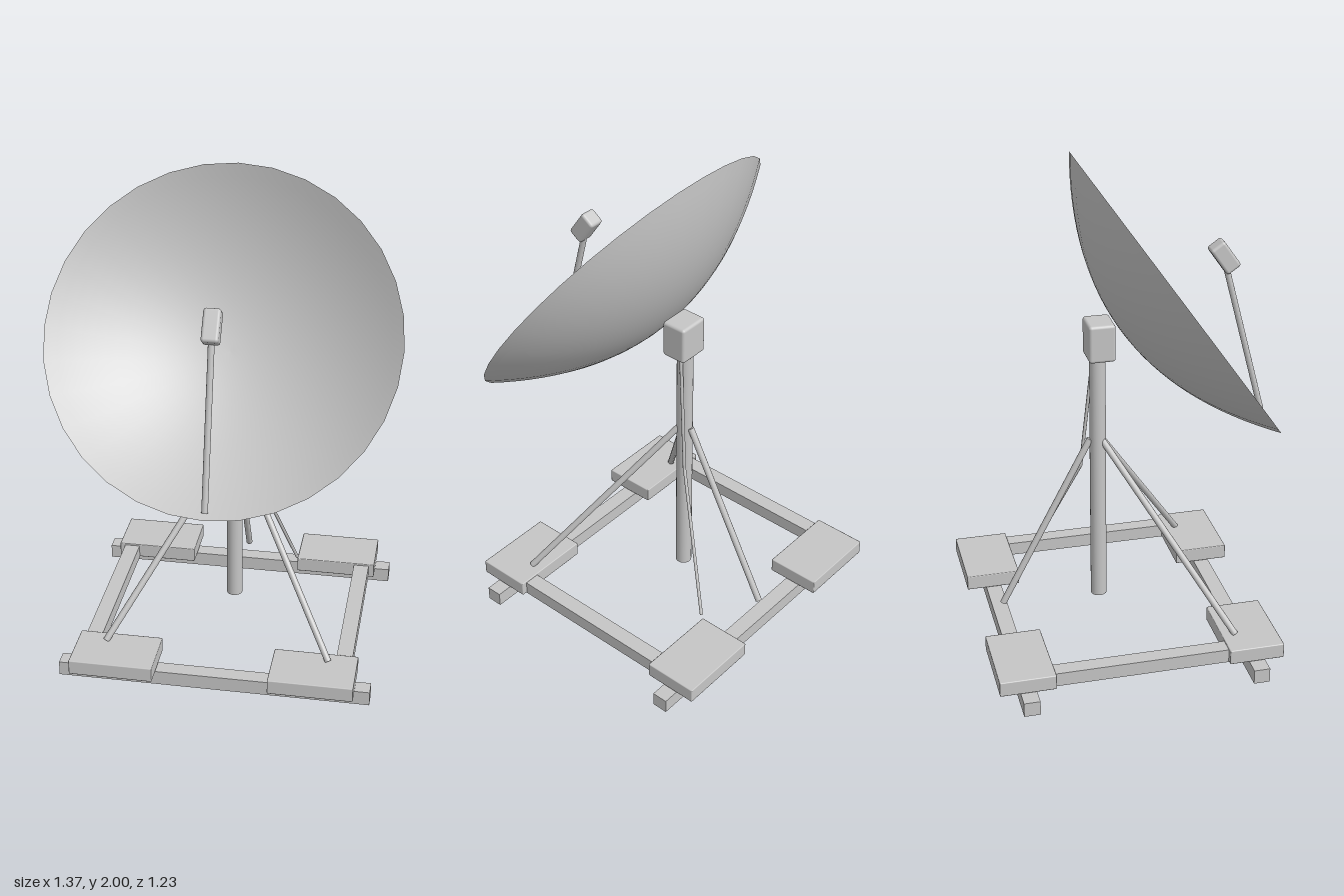
import * as THREE from 'three';
import { RoundedBoxGeometry } from 'three/addons/geometries/RoundedBoxGeometry.js';

export function createModel() {
  const model = new THREE.Group();
  model.name = 'satelliteDish';
  const grey = new THREE.MeshStandardMaterial({ color: 0xc6c6c6, side: THREE.DoubleSide });
  grey.name = 'paintedMetalGrey';

  function add(name, geometry, x = 0, y = 0, z = 0) {
    const mesh = new THREE.Mesh(geometry, grey);
    mesh.name = name;
    mesh.position.set(x, y, z);
    model.add(mesh);
    return mesh;
  }

  // Round bar between two points
  function rod(name, from, to, radius, sides = 12) {
    const a = new THREE.Vector3(...from), b = new THREE.Vector3(...to);
    const dir = b.clone().sub(a);
    const mesh = add(name, new THREE.CylinderGeometry(radius, radius, dir.length(), sides));
    mesh.position.copy(a).add(b).multiplyScalar(0.5);
    mesh.quaternion.setFromUnitVectors(new THREE.Vector3(0, 1, 0), dir.normalize());
    return mesh;
  }

  // Base frame: two cross beams on the ground, two side beams on top of them
  for (const z of [0.42, -0.506]) {
    add('crossBeam', new THREE.BoxGeometry(1.265, 0.06, 0.065), 0, 0.03, z);
  }
  for (const s of [1, -1]) {
    add('sideBeam', new THREE.BoxGeometry(0.065, 0.057, 0.99), s * 0.516, 0.089, -0.043);
    // Ballast slabs on the corners
    for (const z of [0.418, -0.508]) {
      add('ballastSlab', new RoundedBoxGeometry(0.34, 0.062, 0.224, 1, 0.004), s * 0.402, 0.094, z);
    }
    // Front braces
    rod('frontBrace', [s * 0.455, 0.125, 0.36], [s * 0.01, 0.845, -0.088], 0.0135);
  }
  rod('rearBrace', [0, 0.125, -0.505], [0, 0.84, -0.13], 0.0135);

  // Mast and the mount block behind the dish
  rod('mast', [0, 0.12, -0.098], [0, 1.25, -0.098], 0.033, 20);
  add('mountBlock', new RoundedBoxGeometry(0.13, 0.155, 0.107, 2, 0.012), 0, 1.272, -0.09);

  // Cable with a bend
  const bend = [0.068, 0.69, -0.155];
  rod('cableUpper', [0.035, 1.21, -0.105], bend, 0.007, 8);
  rod('cableLower', bend, [0.232, 0.14, -0.388], 0.007, 8);
  add('cableBend', new THREE.SphereGeometry(0.007, 8, 6), ...bend);

  // Parabolic reflector, tilted upward
  const radius = 0.687, depth = 0.26, tilt = 0.962;
  const profile = [];
  for (let i = 0; i <= 16; i++) {
    const t = i / 16;
    profile.push(new THREE.Vector2(radius * t, depth * (t * t - 1)));
  }
  const dish = add('reflector', new THREE.LatheGeometry(profile, 32), 0, 1.4375, 0.2175);
  dish.rotation.x = tilt;

  // Feed arm and receiver
  rod('feedArm', [0, 0.895, 0.587], [0, 1.53, 0.422], 0.0125);
  const feed = add('receiver', new RoundedBoxGeometry(0.066, 0.128, 0.068, 2, 0.012), 0, 1.572, 0.413);
  feed.rotation.x = tilt - Math.PI / 2;

  return model;
}
